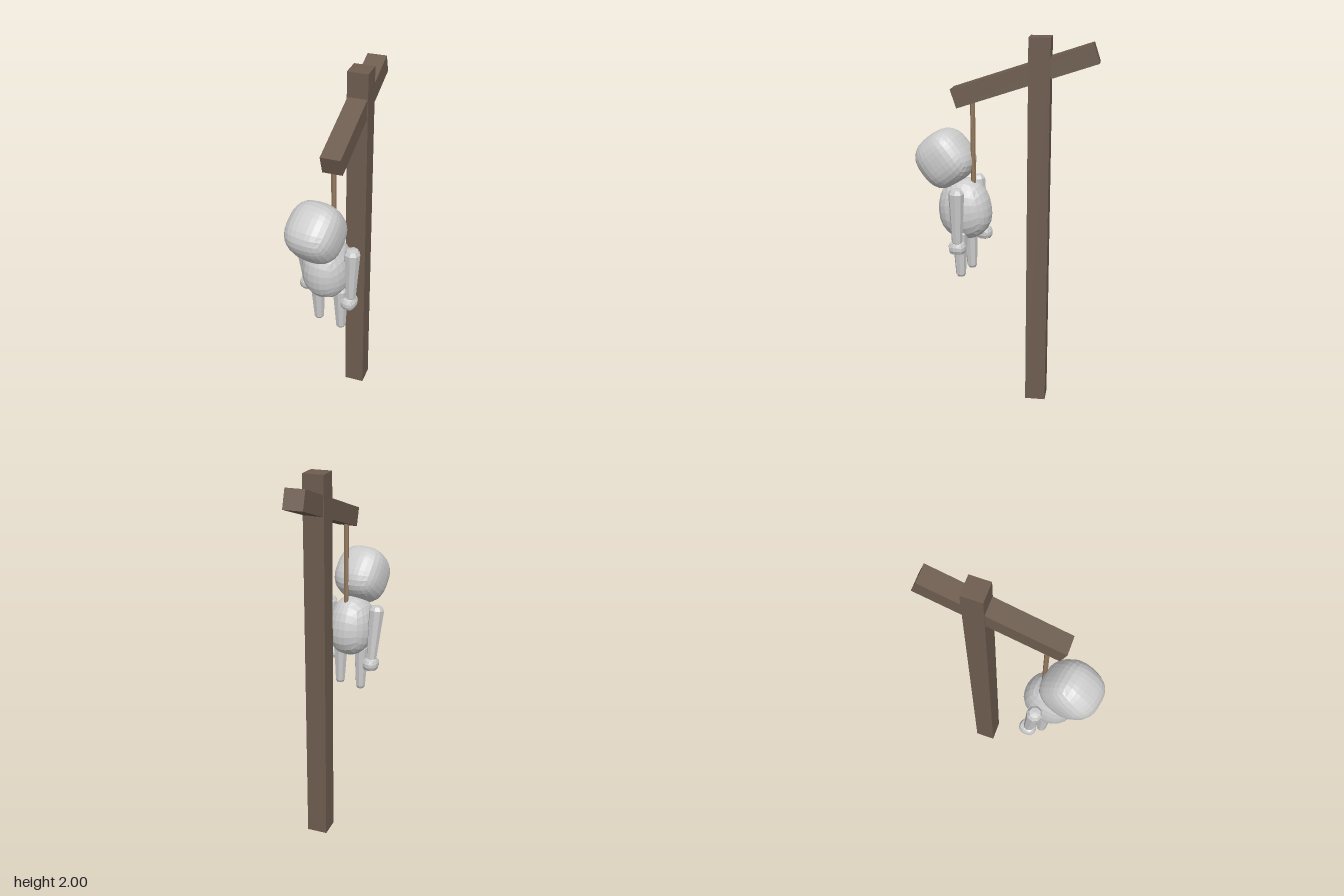
import * as THREE from 'three';

const grey = new THREE.MeshStandardMaterial({ color: 0xcccccc, flatShading: true });
const wood = new THREE.MeshStandardMaterial({ color: 0x6e5d50, flatShading: true });
const cord = new THREE.MeshStandardMaterial({ color: 0x94795f, flatShading: true });

function add(parent, name, geometry, material, x, y, z) {
  const mesh = new THREE.Mesh(geometry, material);
  mesh.name = name;
  mesh.position.set(x, y, z);
  parent.add(mesh);
  return mesh;
}

// A gridded cube pushed out to a superellipsoid: power 2 is round, higher is boxier.
function roundedBlob(rx, ry, rz, segments, power, taper = 0) {
  const geometry = new THREE.BoxGeometry(2, 2, 2, segments, segments, segments);
  const p = geometry.attributes.position;
  const v = new THREE.Vector3();
  for (let i = 0; i < p.count; i++) {
    v.fromBufferAttribute(p, i);
    v.set(...v.toArray().map((c) => Math.tan(c * Math.PI / 4)));
    const length = (Math.abs(v.x) ** power + Math.abs(v.y) ** power + Math.abs(v.z) ** power) ** (1 / power);
    v.divideScalar(length);
    const s = 1 - taper * v.y;
    p.setXYZ(i, v.x * rx * s, v.y * ry, v.z * rz * s);
  }
  geometry.computeVertexNormals();
  return geometry;
}

// A tapered limb with softened ends, running from a to b.
function limb(parent, name, a, b, ra, rb) {
  const start = new THREE.Vector3(...a);
  const end = new THREE.Vector3(...b);
  const h = start.distanceTo(end);
  const profile = [
    [0, 0], [rb * 0.7, 0], [rb, rb * 0.5],
    [ra, h - ra * 0.6], [ra * 0.7, h - ra * 0.12], [0, h],
  ].map(([r, y]) => new THREE.Vector2(r, y));
  const mesh = add(parent, name, new THREE.LatheGeometry(profile, 8), grey, ...b);
  mesh.quaternion.setFromUnitVectors(new THREE.Vector3(0, 1, 0), start.sub(end).normalize());
}

export function createModel() {
  const model = new THREE.Group();
  model.name = 'hangingDoll';

  // Timber stand and cord
  add(model, 'post', new THREE.BoxGeometry(0.11, 2, 0.11), wood, 0.043, 1, -0.18);
  const beam = add(model, 'beam', new THREE.BoxGeometry(0.103, 0.1, 0.754), wood, 0.043, 1.807, -0.102);
  beam.rotation.x = 0.324;
  add(model, 'rope', new THREE.CylinderGeometry(0.013, 0.013, 0.48, 6), cord, 0.024, 1.45, 0.168);

  // Doll, turned slightly towards its right
  const doll = new THREE.Group();
  doll.name = 'doll';
  model.add(doll);

  const torso = add(doll, 'torso', roundedBlob(0.123, 0.168, 0.143, 6, 2.2, 0.06), grey, 0.006, 1.085, 0.218);
  torso.rotation.set(0.12, -0.19, 0, 'YXZ');

  // Head drooping forward
  const head = add(doll, 'head', roundedBlob(0.135, 0.146, 0.143, 8, 2.7), grey, -0.014, 1.35, 0.322);
  head.rotation.set(0.68, -0.19, 0, 'YXZ');

  limb(doll, 'leftArm', [0.146, 1.23, 0.238], [0.138, 0.92, 0.24], 0.042, 0.028);
  limb(doll, 'rightArm', [-0.15, 1.23, 0.18], [-0.133, 0.92, 0.145], 0.042, 0.028);
  limb(doll, 'leftLeg', [0.08, 0.99, 0.235], [0.083, 0.72, 0.232], 0.042, 0.027);
  limb(doll, 'rightLeg', [-0.055, 0.99, 0.205], [-0.053, 0.72, 0.195], 0.042, 0.027);

  for (const [name, x, z] of [['leftHand', 0.131, 0.24], ['rightHand', -0.133, 0.14]]) {
    const hand = add(doll, name, roundedBlob(0.041, 0.038, 0.046, 3, 2.8), grey, x, 0.9, z);
    hand.rotation.y = -0.19;
  }
  return model;
}
